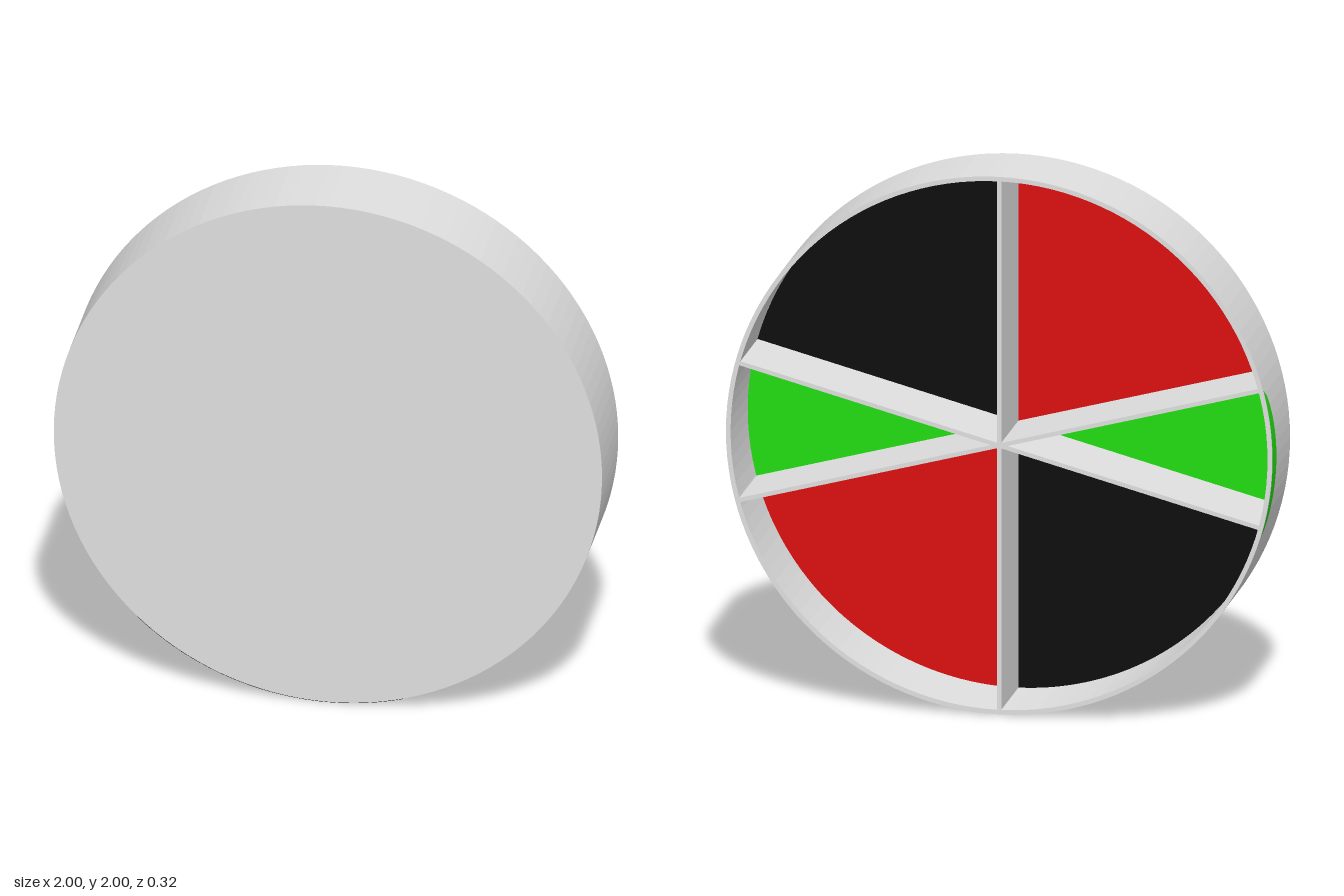
import * as THREE from 'three';

const R = 1, INNER = 0.983, HALF = 0.161, SIDES = 64;
const rad = THREE.MathUtils.degToRad;

export function createModel() {
  const model = new THREE.Group();
  const mat = (name, color, side = THREE.FrontSide) => {
    const m = new THREE.MeshStandardMaterial({ color, side });
    m.name = name;
    return m;
  };
  const grey = mat('light grey', 0xe0e0e0);
  const red = mat('red', 0xdd1010, THREE.DoubleSide);
  const green = mat('green', 0x22dd12, THREE.DoubleSide);
  const black = mat('black', 0x0e0e0e, THREE.DoubleSide);

  const wheel = new THREE.Group();
  wheel.name = 'roundTray';
  wheel.position.y = R;
  model.add(wheel);
  const add = (name, geometry, material) => {
    const mesh = new THREE.Mesh(geometry, material);
    mesh.name = name;
    wheel.add(mesh);
    return mesh;
  };

  // Thin faceted rim wall, open at the back
  const ring = new THREE.Shape().absarc(0, 0, R, 0, Math.PI * 2, false);
  ring.holes.push(new THREE.Path().absarc(0, 0, INNER, 0, Math.PI * 2, true));
  add('rimWall', new THREE.ExtrudeGeometry(ring, {
    depth: HALF * 2, bevelEnabled: false, curveSegments: SIDES,
  }).translate(0, 0, -HALF), grey);

  // Front disc closing the tray
  add('frontDisc', new THREE.CylinderGeometry(INNER + 0.002, INNER + 0.002, 0.01, SIDES)
    .rotateX(Math.PI / 2).translate(0, 0, HALF - 0.005), grey);

  // Three dividers crossing at the centre
  for (const angle of [90, 15, -15]) {
    const d = add('divider', new THREE.BoxGeometry(INNER * 2, 0.016, HALF * 2 - 0.006), grey);
    d.rotation.z = rad(angle);
    d.position.z = -0.002;
  }

  // Coloured floor of each compartment
  const sectors = [
    [-15, 15, green], [15, 90, black], [90, 165, red],
    [165, 195, green], [195, 270, black], [270, 345, red],
  ];
  for (const [from, to, material] of sectors) {
    const plate = new THREE.CircleGeometry(INNER, 24, rad(from), rad(to - from));
    add(material.name + 'Floor', plate.translate(0, 0, HALF - 0.013), material);
  }

  // Lens-shaped paint patches on the outside of the rim
  const patch = (name, from, to, zEdge, depth, material) => {
    const n = 20, pos = [], index = [];
    for (let i = 0; i <= n; i++) {
      const t = i / n, a = rad(from + (to - from) * t), r = R + 0.0015;
      const x = r * Math.cos(a), y = r * Math.sin(a);
      pos.push(x, y, zEdge, x, y, zEdge + depth * Math.sqrt(4 * t * (1 - t)));
      if (i < n) {
        const k = i * 2;
        index.push(k, k + 2, k + 1, k + 1, k + 2, k + 3);
      }
    }
    const g = new THREE.BufferGeometry();
    g.setAttribute('position', new THREE.Float32BufferAttribute(pos, 3));
    g.setIndex(index);
    g.computeVertexNormals();
    // Keep the normals pointing outwards from the rim
    const normal = g.attributes.normal;
    for (let i = 0; i < normal.count; i++) {
      normal.setXYZ(i, pos[i * 3] / R, pos[i * 3 + 1] / R, 0);
    }
    normal.needsUpdate = true;
    if (depth > 0) return add(name, g, material);
    // Reverse winding where the strip runs the other way
    g.setIndex(index.map((_, i) => index[i - (i % 3) + 2 - (i % 3)]));
    return add(name, g, material);
  };
  patch('greenRimPatch', 197, 165, -HALF, 0.07, green);
  patch('blackRimPatch', 286, 226, HALF, -0.11, black);

  return model;
}
